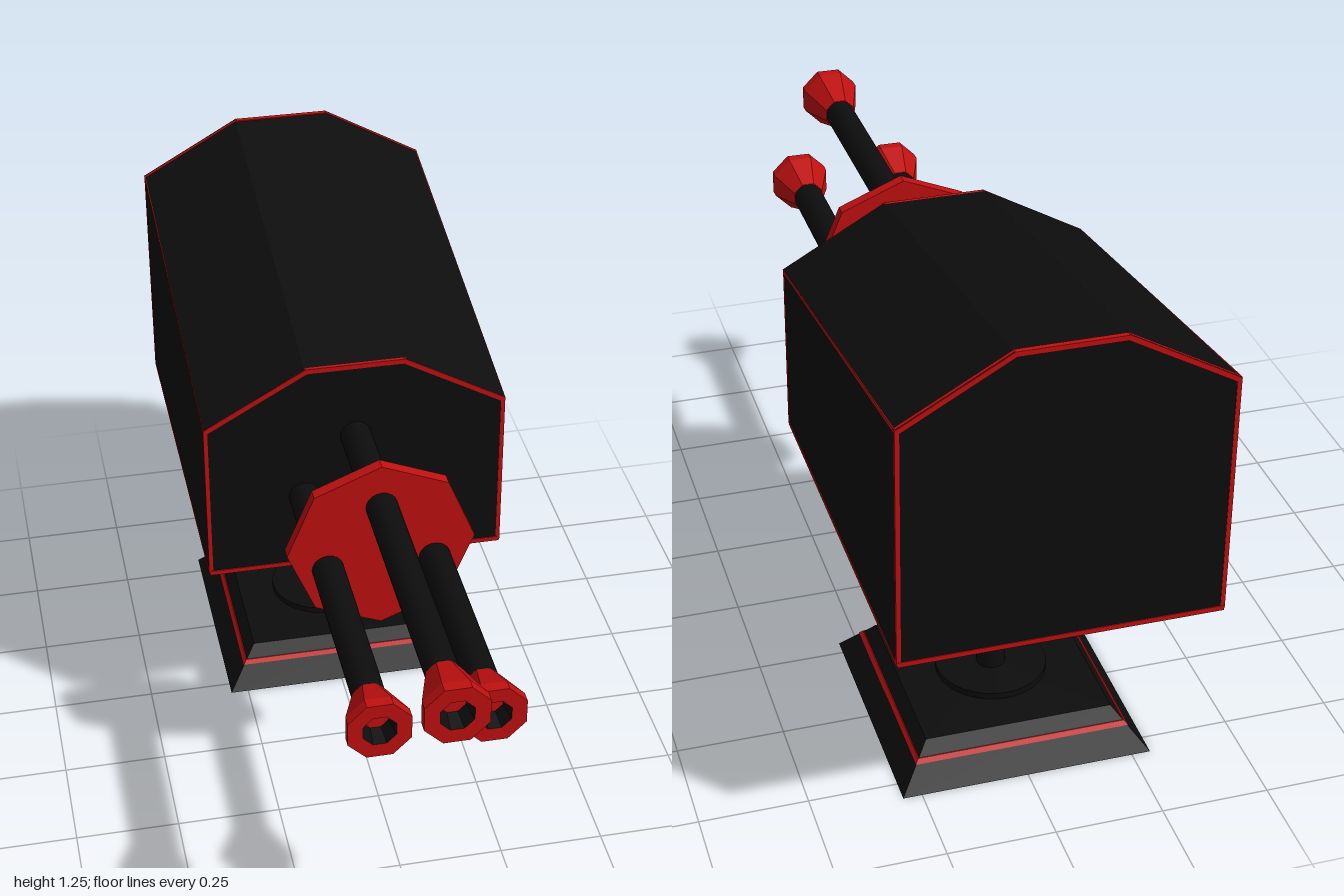
import * as THREE from 'three';

const black = new THREE.MeshStandardMaterial({ color: 0x0d0d0d });
const blackFlat = new THREE.MeshStandardMaterial({ color: 0x0d0d0d, flatShading: true });
const red = new THREE.MeshStandardMaterial({ color: 0xc01010, flatShading: true });

const BASE_Z = -0.507;
const FRONT = -0.03, BACK = -1, FLOOR = 0.537;

function add(parent, name, geometry, material, x = 0, y = 0, z = 0) {
  const mesh = new THREE.Mesh(geometry, material);
  mesh.name = name;
  mesh.position.set(x, y, z);
  parent.add(mesh);
  return mesh;
}

// Four-sided frustum with sides parallel to x and z, given as half widths
function squareFrustum(top, bottom, height) {
  return new THREE.CylinderGeometry(top * Math.SQRT2, bottom * Math.SQRT2, height, 4).rotateY(Math.PI / 4);
}

// Lathe turned so that its axis points along +z
function latheZ(points, sides) {
  return new THREE.LatheGeometry(points.map(p => new THREE.Vector2(...p)), sides)
    .rotateY(Math.PI / sides).rotateX(Math.PI / 2);
}

// Square bar between two points
function bar(parent, name, a, b, size) {
  const from = new THREE.Vector3(...a), to = new THREE.Vector3(...b);
  const mesh = add(parent, name, new THREE.BoxGeometry(size, size, from.distanceTo(to) + size * 0.5), red);
  mesh.position.copy(from).lerp(to, 0.5);
  mesh.lookAt(to);
}

function createStand() {
  const stand = new THREE.Group();
  stand.name = 'stand';
  stand.position.z = BASE_Z;
  add(stand, 'basePlate', squareFrustum(0.22, 0.294, 0.095), blackFlat, 0, 0.0475);
  add(stand, 'baseStripe', squareFrustum(0.2455, 0.2535, 0.01), red, 0, 0.06);
  add(stand, 'baseDisc', new THREE.CylinderGeometry(0.13, 0.13, 0.03, 32), black, 0, 0.096);
  add(stand, 'post', new THREE.CylinderGeometry(0.034, 0.034, 0.42, 24), black, 0, 0.3);
  // Swivel mount under the housing
  const mount = [[0, 0.476], [0.036, 0.476], [0.108, 0.497], [0.108, 0.542]];
  add(stand, 'swivelMount',
    new THREE.LatheGeometry(mount.map(p => new THREE.Vector2(...p)), 16), blackFlat);
  return stand;
}

function createHousing() {
  const housing = new THREE.Group();
  housing.name = 'housing';
  const rise = 0.157;
  const outline = [[-0.36, FLOOR], [0.36, FLOOR], [0.36, 0.955], [0.12, 1.091], [-0.12, 1.091], [-0.36, 0.955]];

  // Extruded section whose roof climbs towards the back
  const shape = new THREE.Shape(outline.map(p => new THREE.Vector2(...p)));
  const geometry = new THREE.ExtrudeGeometry(shape, { depth: FRONT - BACK, bevelEnabled: false });
  geometry.translate(0, 0, BACK);
  const pos = geometry.attributes.position;
  for (let i = 0; i < pos.count; i++) {
    if (pos.getZ(i) < -0.5 && pos.getY(i) > 0.8) pos.setY(i, pos.getY(i) + rise);
  }
  geometry.computeVertexNormals();
  add(housing, 'shell', geometry, blackFlat);

  // Trim along the end outlines and the long eave and floor edges
  const inset = 0.004;
  const corner = (i, back) => {
    const [x, y] = outline[i % 6];
    return [
      x - Math.sign(x) * inset,
      y < 0.8 ? y + inset : y - inset - 0.001 + (back ? rise : 0),
      back ? BACK + inset : FRONT - inset,
    ];
  };
  for (const back of [false, true]) {
    for (let i = 0; i < 6; i++) {
      const upright = i === 1 || i === 5;
      bar(housing, 'endTrim', corner(i, back), corner(i + 1, back), upright ? 0.01 : 0.012);
    }
  }
  for (const i of [0, 1, 2, 5]) bar(housing, 'sideTrim', corner(i, false), corner(i, true), 0.01);
  return housing;
}

// Barrel with a flared, hollow muzzle ending at z = tip
function createBarrel(name, x, y, tip, flare) {
  const barrel = new THREE.Group();
  barrel.name = name;
  barrel.position.set(x, y, 0);
  const start = FRONT - 0.03, end = tip - 0.06;
  add(barrel, 'tube', new THREE.CylinderGeometry(0.037, 0.037, end - start, 20).rotateX(Math.PI / 2),
    black, 0, 0, (start + end) / 2);
  const back = tip - flare;
  add(barrel, 'muzzle', latheZ([[0.03, back], [0.04, back], [0.075, tip - 0.025], [0.075, tip], [0.039, tip]], 8), red);
  add(barrel, 'bore', latheZ([[0.039, tip], [0.03, tip - 0.045]], 8), blackFlat);
  add(barrel, 'boreEnd', latheZ([[0.03, tip - 0.045], [0, tip - 0.045]], 8), red);
  return barrel;
}

export function createModel() {
  const model = new THREE.Group();
  model.name = 'mountedTurret';
  model.add(createStand(), createHousing());

  // Three barrels held together by an octagonal plate
  model.add(createBarrel('topBarrel', 0, 0.896, 1, 0.13));
  model.add(createBarrel('leftBarrel', 0.125, 0.738, 0.838, 0.112));
  model.add(createBarrel('rightBarrel', -0.125, 0.738, 0.838, 0.112));
  add(model, 'barrelPlate', new THREE.CylinderGeometry(0.219, 0.219, 0.03, 8).rotateX(Math.PI / 2),
    red, 0, 0.785, 0.25);
  return model;
}
